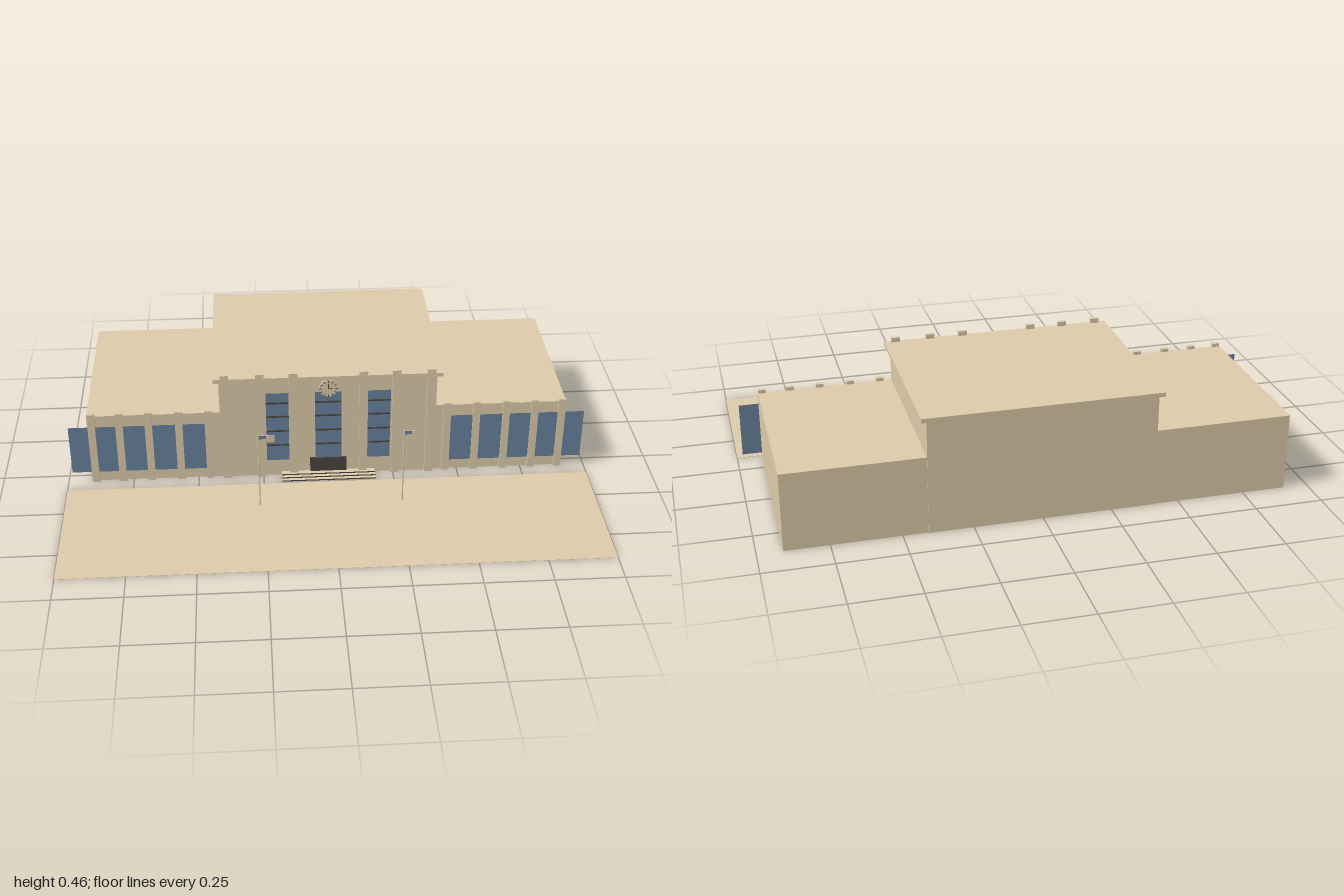
import * as THREE from 'three';

const material = (name, color) => {
  const m = new THREE.MeshStandardMaterial({ color });
  m.name = name;
  return m;
};

export function createModel() {
  const stone = material('stone', 0xdccaa9);
  const glass = material('glass', 0x67829c);
  glass.side = THREE.DoubleSide;
  const dark = material('dark bronze', 0x4a433c);
  // Box face order: +x, -x, +y, -y, +z, -z
  const masonry = [stone, stone, stone, dark, stone, stone]; // dark underside
  const treads = [dark, dark, stone, dark, dark, dark]; // pale top only
  const model = new THREE.Group();
  model.name = 'civicBuilding';

  const add = (name, geometry, mat, parent = model) => {
    const mesh = new THREE.Mesh(geometry, mat);
    mesh.name = name;
    parent.add(mesh);
    return mesh;
  };
  // Box given by its minimum and maximum on each axis
  const block = (name, mat, x0, x1, y0, y1, z0, z1, parent) => {
    const mesh = add(name, new THREE.BoxGeometry(x1 - x0, y1 - y0, z1 - z0), mat, parent);
    mesh.position.set((x0 + x1) / 2, (y0 + y1) / 2, (z0 + z1) / 2);
    return mesh;
  };
  // Upright flat pane facing the front
  const pane = (name, mat, x0, x1, y0, y1, z, parent) => {
    const mesh = add(name, new THREE.PlaneGeometry(x1 - x0, y1 - y0), mat, parent);
    mesh.position.set((x0 + x1) / 2, (y0 + y1) / 2, z);
    return mesh;
  };

  // Central hall with an overhanging roof slab
  block('centralHall', masonry, -0.41, 0.41, 0, 0.425, -0.629, 0.04);
  block('roofSlab', masonry, -0.43, 0.43, 0.424, 0.44, -0.638, 0.05);
  for (const x of [0.132, 0.257, 0.388]) {
    for (const s of [-1, 1]) {
      block('hallPilaster', masonry, s * x - 0.016, s * x + 0.016, 0, 0.457, 0.036, 0.052);
    }
  }

  // Tall hall windows with horizontal bars
  for (const [x, half] of [[-0.193, 0.043], [0, 0.05], [0.193, 0.043]]) {
    pane('hallWindow', glass, x - half, x + half, 0.07, 0.37, 0.043);
    for (const y of [0.14, 0.203, 0.267, 0.327]) {
      block('windowBar', dark, x - half, x + half, y - 0.003, y + 0.003, 0.04, 0.046);
    }
  }

  // Side wings; each glass strip runs out past the end wall
  for (const s of [-1, 1]) {
    const wing = new THREE.Group();
    wing.name = s < 0 ? 'rightWing' : 'leftWing';
    model.add(wing);
    const span = (make, name, mat, a, b, ...rest) =>
      make(name, mat, Math.min(s * a, s * b), Math.max(s * a, s * b), ...rest, wing);
    span(block, 'wingBody', masonry, 0.41, 0.91, 0, 0.29, -0.626, 0.036);
    span(pane, 'wingGlass', glass, 0.465, 0.982, 0.043, 0.245, 0.041);
    for (const x of [0.454, 0.566, 0.68, 0.79, 0.894]) {
      span(block, 'wingPilaster', masonry, x - 0.014, x + 0.014, 0, 0.303, 0.03, 0.047);
    }
  }

  // Entrance doors and shallow steps
  block('entranceDoors', dark, -0.07, 0.07, 0.012, 0.075, 0.039, 0.047);
  for (let i = 0; i < 3; i++) {
    block('entranceStep', treads, -0.18, 0.18, i * 0.005, (i + 1) * 0.005, 0.038, 0.09 - i * 0.014);
  }

  // Wall clock
  const clock = new THREE.Group();
  clock.name = 'clock';
  clock.position.set(0, 0.388, 0.046);
  model.add(clock);
  const face = add('clockFace', new THREE.CylinderGeometry(0.035, 0.035, 0.008, 32), stone, clock);
  face.rotation.x = Math.PI / 2;
  for (let i = 0; i < 12; i++) {
    const a = (i * Math.PI) / 6;
    const tick = add('hourMark', new THREE.BoxGeometry(0.003, 0.007, 0.002), dark, clock);
    tick.position.set(Math.sin(a) * 0.03, Math.cos(a) * 0.03, 0.0045);
    tick.rotation.z = -a;
  }
  block('minuteHand', dark, -0.001, 0.001, 0, 0.022, 0.004, 0.006, clock);
  block('hourHand', dark, 0, 0.015, -0.001, 0.001, 0.004, 0.006, clock);

  // Flagpoles with flags
  for (const x of [-0.269, 0.267]) {
    const pole = add('flagpole', new THREE.CylinderGeometry(0.0025, 0.0025, 0.315, 8), stone);
    pole.position.set(x, 0.1575, 0.238);
    block('flag', stone, x, x + 0.06, 0.28, 0.312, 0.237, 0.239);
    for (const z of [0.2365, 0.2395]) {
      pane('flagCorner', glass, x + 0.002, x + 0.028, 0.296, 0.311, z);
    }
  }

  // Forecourt
  block('forecourt', masonry, -1, 1, 0, 0.001, 0.1, 0.638);
  return model;
}
